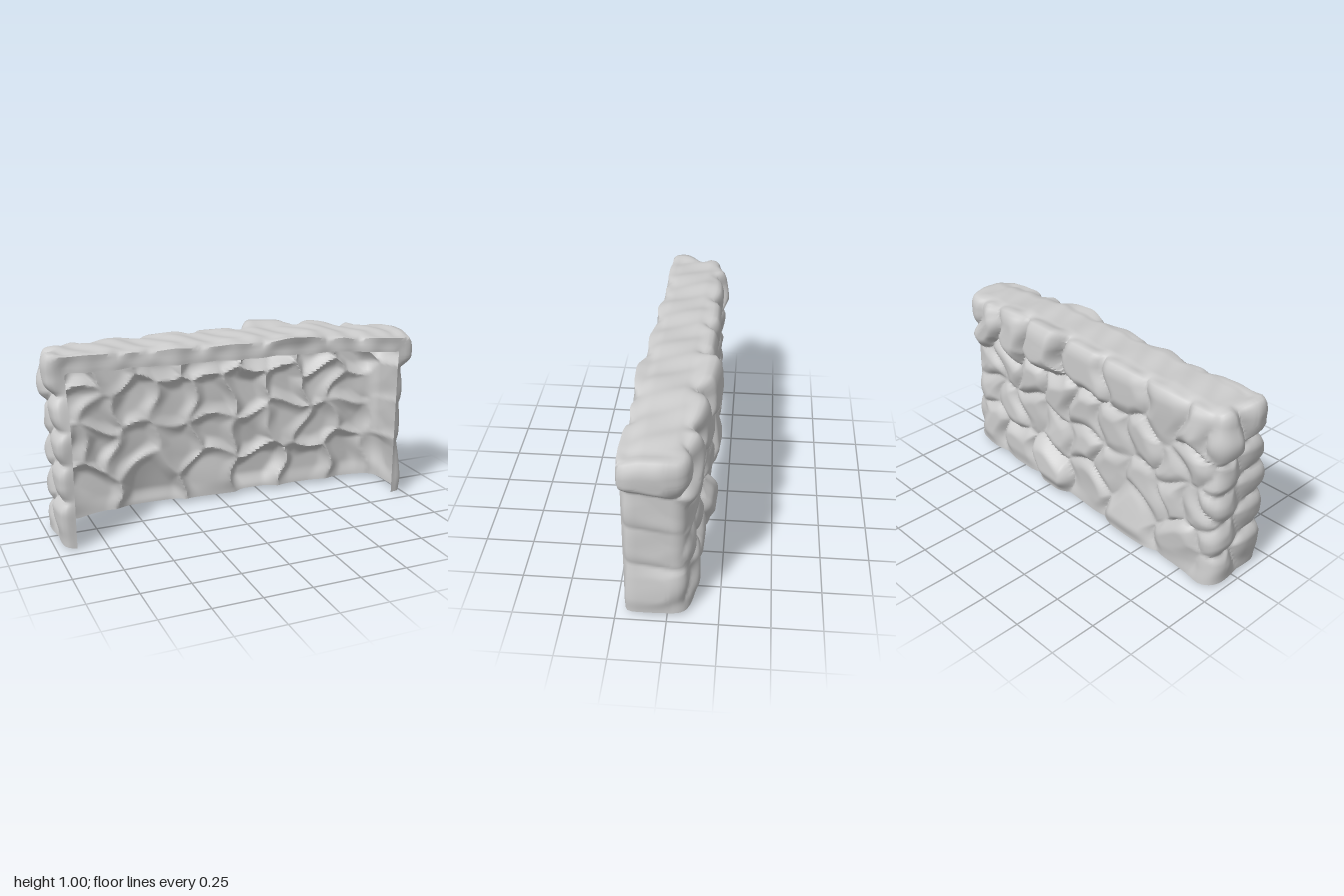
import * as THREE from 'three';
import { mergeVertices, toCreasedNormals } from 'three/addons/utils/BufferGeometryUtils.js';

// Base block before the stones are pushed outwards
const X = 0.92, TOP = 0.95, BACK = -0.1, FRONT = 0.15, ROUND = 0.04, JOINT = 0.025;

// Small repeatable number in -1..1
const hash = (n) => { const s = Math.sin(n * 127.1 + 3.7) * 43758.5453; return (s - Math.floor(s)) * 2 - 1; };
const smooth = THREE.MathUtils.smoothstep;

// Courses of the back: height of the course, then centre along x and bulge of each stone
const courses = [
  { y: 0.82, stones: [[-0.82, 0.08], [-0.6, 0.05], [-0.35, 0.065], [-0.04, 0.07], [0.28, 0.115], [0.58, 0.09], [0.8, 0.08]] },
  { y: 0.59, stones: [[-0.8, 0.06], [-0.66, 0.05], [-0.48, 0.06], [-0.27, 0.05], [-0.04, 0.06], [0.17, 0.07], [0.41, 0.07], [0.62, 0.06], [0.79, 0.06]] },
  { y: 0.38, stones: [[-0.82, 0.05], [-0.7, 0.06], [-0.5, 0.05], [-0.24, 0.045], [-0.03, 0.06], [0.2, 0.06], [0.39, 0.05], [0.6, 0.06], [0.79, 0.05]] },
  { y: 0.13, stones: [[-0.79, 0.06], [-0.38, 0.06], [-0.05, 0.05], [0.22, 0.1], [0.54, 0.07], [0.78, 0.07]] },
];

function makeStones() {
  const stones = [];
  const add = (x, y, z, h) => {
    const k = stones.length + 1;
    stones.push({ c: new THREE.Vector3(x, y, z), h, tilt: new THREE.Vector3(hash(k), hash(k + 50), hash(k + 90)).multiplyScalar(0.12) });
  };
  courses.forEach((course, r) => course.stones.forEach(([x, h], i) => add(x, course.y + hash(r * 20 + i) * 0.05, BACK, h)));
  // The broad stone at the foot of the back leans out towards the ground
  stones.find((s) => s.c.x === -0.38).tilt.set(0.05, -0.25, 0);
  // One large stone per course on the left end
  [[0.16, 0.055], [0.41, 0.03], [0.61, 0.03], [0.84, 0.08]].forEach(([y, h]) => add(X, y, 0.01, h));
  // Two staggered columns on the right end
  [[0.12, 0.06], [0.32, 0.055], [0.5, 0.055], [0.66, 0.055], [0.85, 0.08]].forEach(([y, h]) => {
    add(-X, y, 0.1, h);
    add(-X, y - 0.05, -0.04, h);
  });
  return stones;
}

// Outward push at a point: each stone swells out of the joints around it
function bulge(p, stones) {
  let first = Infinity, second = Infinity, stone;
  const q = p.clone();
  q.x += 0.025 * Math.sin(p.y * 21 + p.z * 9 + p.x * 5);
  q.y += 0.025 * Math.sin(p.x * 17 + p.z * 7);
  for (const s of stones) {
    const d = q.distanceTo(s.c);
    if (d < first) { second = first; first = d; stone = s; } else if (d < second) second = d;
  }
  const swell = Math.sqrt(smooth(second - first, 0, 0.13));
  const slope = stone.tilt.dot(q.sub(stone.c));
  return JOINT + swell * Math.max(0, stone.h + slope - JOINT);
}

// Box grid without its underside, and with only a narrow rim left of its front
function openBox() {
  const geo = new THREE.BoxGeometry(2 * X, TOP, FRONT - BACK, 150, 80, 24);
  geo.translate(0, TOP / 2, (FRONT + BACK) / 2);
  const { position } = geo.attributes, kept = [];
  geo.groups.forEach(({ start, count }, face) => {
    if (face === 3) return;
    for (let i = start; i < start + count; i += 3) {
      const tri = [0, 1, 2].map((k) => geo.index.getX(i + k));
      const onRim = (v) => Math.abs(position.getX(v)) > X - 0.026 || position.getY(v) > TOP - 0.06;
      if (face !== 4 || tri.every(onRim)) kept.push(...tri);
    }
  });
  geo.clearGroups();
  geo.setIndex(kept);
  geo.deleteAttribute('normal');
  geo.deleteAttribute('uv');
  // Merging on a non-indexed copy also drops the unused corners
  return mergeVertices(geo.toNonIndexed(), 1e-4);
}

function wallShell() {
  const geo = openBox(), pos = geo.attributes.position, stones = makeStones();
  const p = new THREE.Vector3(), core = new THREE.Vector3(), n = new THREE.Vector3();
  const lo = new THREE.Vector3(-X + ROUND, -1, BACK + ROUND), hi = new THREE.Vector3(X - ROUND, TOP - ROUND, FRONT - ROUND);
  for (let i = 0; i < pos.count; i++) {
    p.fromBufferAttribute(pos, i);
    core.copy(p).clamp(lo, hi);
    n.copy(p).sub(core).normalize();

    // Rough stones on the back and ends, calmer along the foot, gentle waves on the top and rim
    let d = bulge(p, stones);
    d = THREE.MathUtils.lerp(d, 0.045, 0.6 * (1 - smooth(p.y, 0, 0.09)));
    const wave = 0.024 + 0.005 * Math.sin(p.x * 17 + p.z * 8) + 0.004 * Math.sin(p.x * 41 - p.z * 20);
    d = THREE.MathUtils.lerp(d, wave, Math.max(smooth(n.y, 0.5, 1), smooth(n.z, 0.4, 1)));
    p.copy(core).addScaledVector(n, ROUND + d);

    // Slightly skewed plan, flared foot at the right end, sinking left top
    p.z += p.x * (0.03 + 0.015 * smooth(p.z, 0, 0.15));
    if (p.x < -0.8) p.z += 0.075 * smooth(p.z, 0, 0.13) * (1 - smooth(p.y, 0.55, 0.9));
    const high = smooth(p.y, 0.7, 0.95);
    p.y -= high * (0.045 * smooth(p.x, 0.4, 1) + 0.02 * smooth(p.z, 0.1, 0.2));
    p.y += 0.022 * (1 - Math.exp(-(((p.x + 0.85) / 0.12) ** 2))) * (1 - p.y);
    pos.setXYZ(i, p.x, p.y, p.z);
  }
  return toCreasedNormals(geo, 0.95);
}

export function createModel() {
  const model = new THREE.Group();
  model.name = 'stoneWall';
  const shell = new THREE.Mesh(wallShell(), new THREE.MeshStandardMaterial({ color: 0xcccccc, side: THREE.DoubleSide }));
  shell.name = 'stoneShell';
  model.add(shell);
  return model;
}
